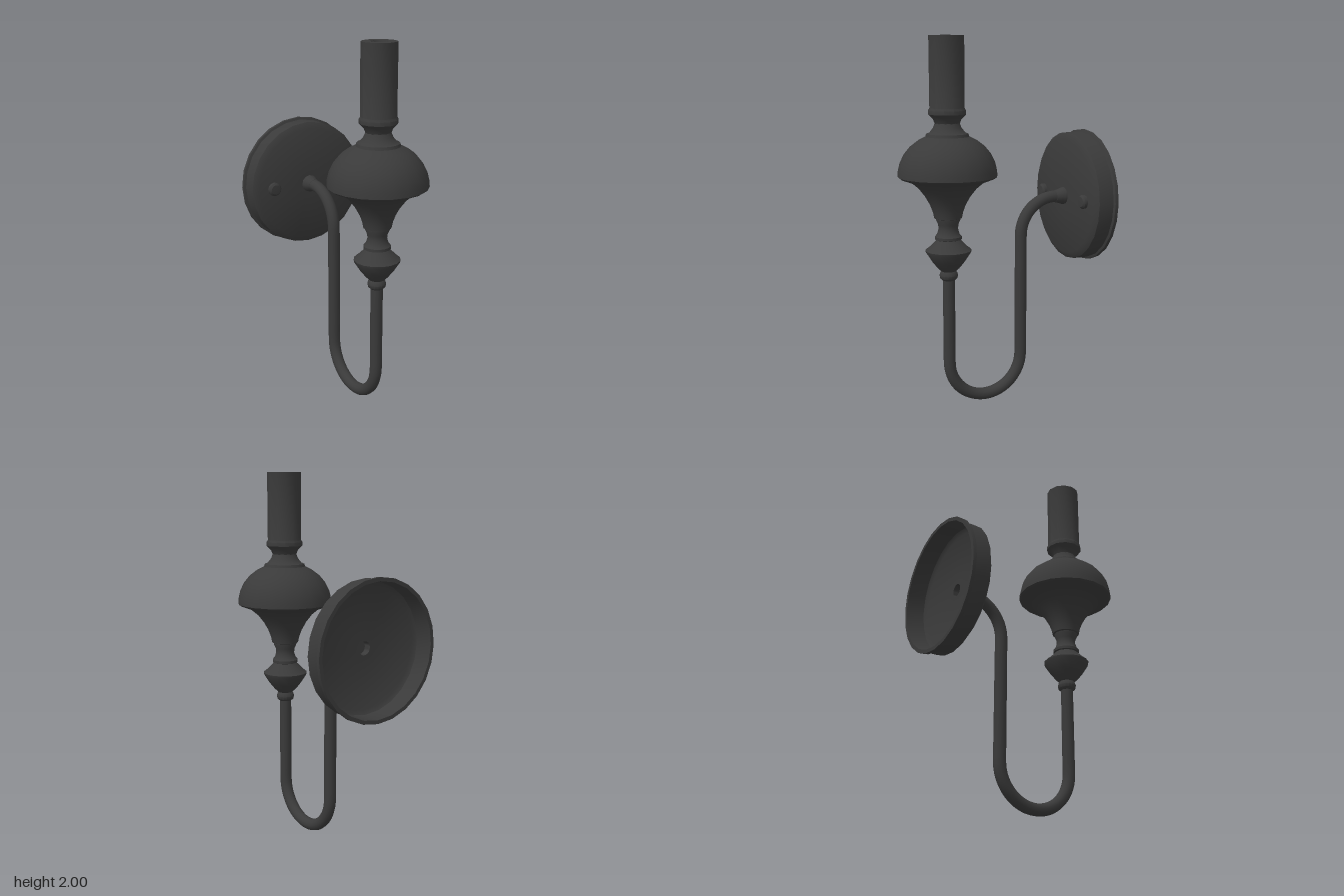
import * as THREE from 'three';
import { toCreasedNormals } from 'three/addons/utils/BufferGeometryUtils.js';

const AXIS_Z = 0.28;   // vertical axis of the turned column
const PLATE_Y = 1.127; // centre height of the wall plate
const TUBE_R = 0.033;

export function createModel() {
  const model = new THREE.Group();
  model.name = 'wallSconce';
  const metal = new THREE.MeshStandardMaterial({ color: 0x3a3a3a });

  const add = (name, geometry, parent = model) => {
    const mesh = new THREE.Mesh(geometry, metal);
    mesh.name = name;
    parent.add(mesh);
    return mesh;
  };
  // Turned shape from [radius, height] pairs, listed bottom to top on the outside
  const turned = (profile, sides) => toCreasedNormals(
    new THREE.LatheGeometry(profile.map(([r, h]) => new THREE.Vector2(r, h)), sides), 0.65);

  // Column standing on the front end of the arm
  const column = new THREE.Group();
  column.name = 'column';
  column.position.z = AXIS_Z;
  model.add(column);

  add('lowerKnop', turned([
    [0, 0.715], [0.035, 0.715], [0.046, 0.725], [0.05, 0.742], [0.045, 0.758],
    [0.04, 0.765], [0.062, 0.785], [0.09, 0.82], [0.121, 0.868], [0.124, 0.88],
    [0.105, 0.895], [0.075, 0.925], [0.063, 0.937], [0.072, 0.94], [0.072, 0.955],
    [0.06, 0.968], [0.052, 0.995], [0.054, 1.02], [0.065, 1.045], [0.065, 1.055],
  ], 16), column);

  add('bowl', turned([
    [0.06, 1.05], [0.074, 1.055], [0.08, 1.085], [0.095, 1.125], [0.12, 1.17],
    [0.155, 1.215], [0.195, 1.248], [0.25, 1.268], [0.263, 1.278], [0.261, 1.305],
    [0.25, 1.35], [0.228, 1.395], [0.195, 1.435], [0.155, 1.465], [0.115, 1.485],
    [0.11, 1.5], [0.095, 1.505], [0.075, 1.53], [0.065, 1.555],
  ], 20), column);

  // Collar and hollow candle tube
  add('candleTube', turned([
    [0.065, 1.55], [0.075, 1.575], [0.092, 1.592], [0.1, 1.6], [0.1, 1.62],
    [0.0925, 1.632], [0.0925, 2], [0.045, 2], [0.036, 1.97], [0.036, 1.88], [0, 1.88],
  ], 12), column);

  // Arm: down from the column, round the U bend, up and back into the plate
  const path = [];
  const bend = (cz, cy, r, from, to, steps) => {
    for (let i = 0; i <= steps; i++) {
      const a = from + (to - from) * i / steps;
      path.push(new THREE.Vector3(0, cy + r * Math.sin(a), cz + r * Math.cos(a)));
    }
  };
  const straight = (z, y0, y1) => {
    for (let i = 0; i < 6; i++) path.push(new THREE.Vector3(0, y0 + (y1 - y0) * i / 6, z));
  };
  const uR = 0.215, uZ = AXIS_Z - uR, uY = TUBE_R + uR;
  const backZ = AXIS_Z - 2 * uR, topR = 0.205;
  straight(AXIS_Z, 0.73, uY);
  bend(uZ, uY, uR, 0, -Math.PI, 16);
  path.pop();
  straight(backZ, uY, PLATE_Y - topR);
  bend(backZ - topR, PLATE_Y - topR, topR, 0, Math.PI / 2, 10);
  path.push(new THREE.Vector3(0, PLATE_Y, -0.375));
  add('arm', new THREE.TubeGeometry(new THREE.CatmullRomCurve3(path), 110, TUBE_R, 12));

  // Shapes turned about the z axis, on the wall plate
  const turnedZ = (name, profile, sides, x = 0) => {
    const mesh = add(name, turned(profile, sides).rotateX(Math.PI / 2));
    mesh.position.set(x, PLATE_Y, 0);
  };

  turnedZ('armFlare', [
    [0.048, -0.418], [0.048, -0.405], [0.04, -0.385], [0.034, -0.36], [0.03, -0.358],
  ], 12);

  // Hollow wall plate with a bore behind the arm
  turnedZ('wallPlate', [
    [0, -0.39], [0.036, -0.39], [0.036, -0.43], [0.32, -0.43], [0.342, -0.445],
    [0.348, -0.545], [0.368, -0.545], [0.368, -0.527], [0.355, -0.522],
    [0.355, -0.437], [0.322, -0.416], [0.04, -0.416],
  ], 24);

  for (const side of [-1, 1]) {
    turnedZ(side < 0 ? 'rightScrew' : 'leftScrew', [
      [0.038, -0.42], [0.038, -0.4], [0.028, -0.391], [0, -0.389],
    ], 12, side * 0.231);
  }

  return model;
}
